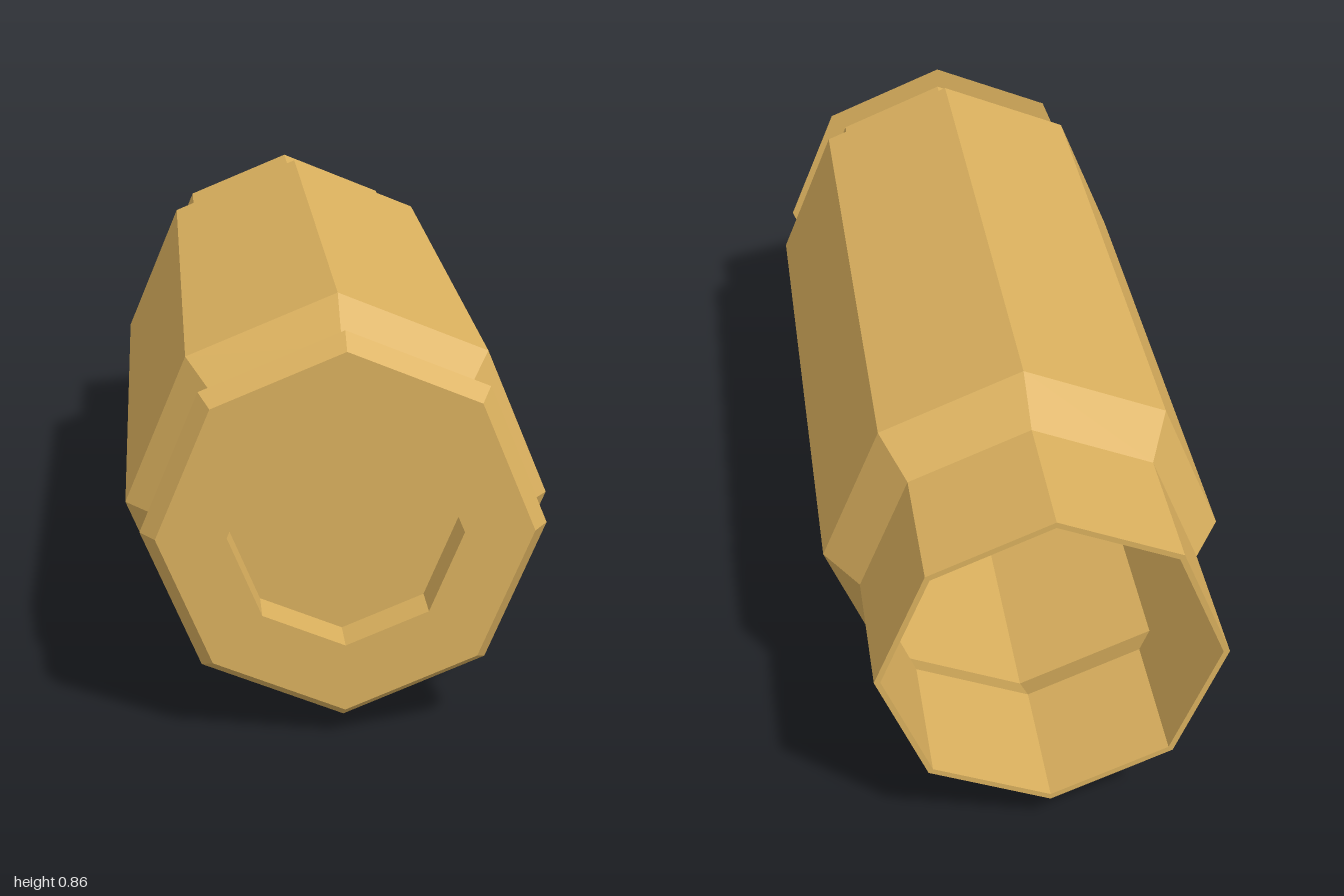
import * as THREE from 'three';

const SIDES = 8;
const AXIS_Y = 0.433;

export function createModel() {
  const brass = new THREE.MeshStandardMaterial({ color: 0xdab05e, flatShading: true });
  brass.name = 'brass';

  const model = new THREE.Group();
  model.name = 'casing';

  const add = (name, geometry, z = 0) => {
    const mesh = new THREE.Mesh(geometry, brass);
    mesh.name = name;
    mesh.position.set(0, AXIS_Y, z);
    model.add(mesh);
  };

  // Octagonal shell turned around z from [radius, z] points
  const turned = (points) =>
    new THREE.LatheGeometry(points.map(([r, z]) => new THREE.Vector2(r, z)), SIDES).rotateX(Math.PI / 2);

  // Inner wall, from the closed end to the open mouth
  add('innerWall', turned([[0.417, 0.78], [0.417, -0.57], [0.349, -0.685], [0.349, -1]]));
  add('mouthEdge', turned([[0.349, -1], [0.362, -1]]));

  // Outer neck, shoulder, body and taper to the groove
  add('body', turned([[0.362, -1], [0.362, -0.685], [0.431, -0.57], [0.431, 0.78], [0.352, 0.885]]));
  add('groove', turned([[0.352, 0.885], [0.352, 0.955]]));

  // Flared rim with the flat base and its recess
  add('rim', turned([[0.352, 0.955], [0.402, 0.955], [0.372, 1], [0.233, 1]]));
  add('recessWall', turned([[0.233, 1], [0.233, 0.91]]));
  add('recessFloor', new THREE.CircleGeometry(0.233, SIDES), 0.91);

  // Closed end inside the shell, facing the mouth
  add('innerFloor', new THREE.CircleGeometry(0.417, SIDES).rotateY(Math.PI), 0.78);

  return model;
}
